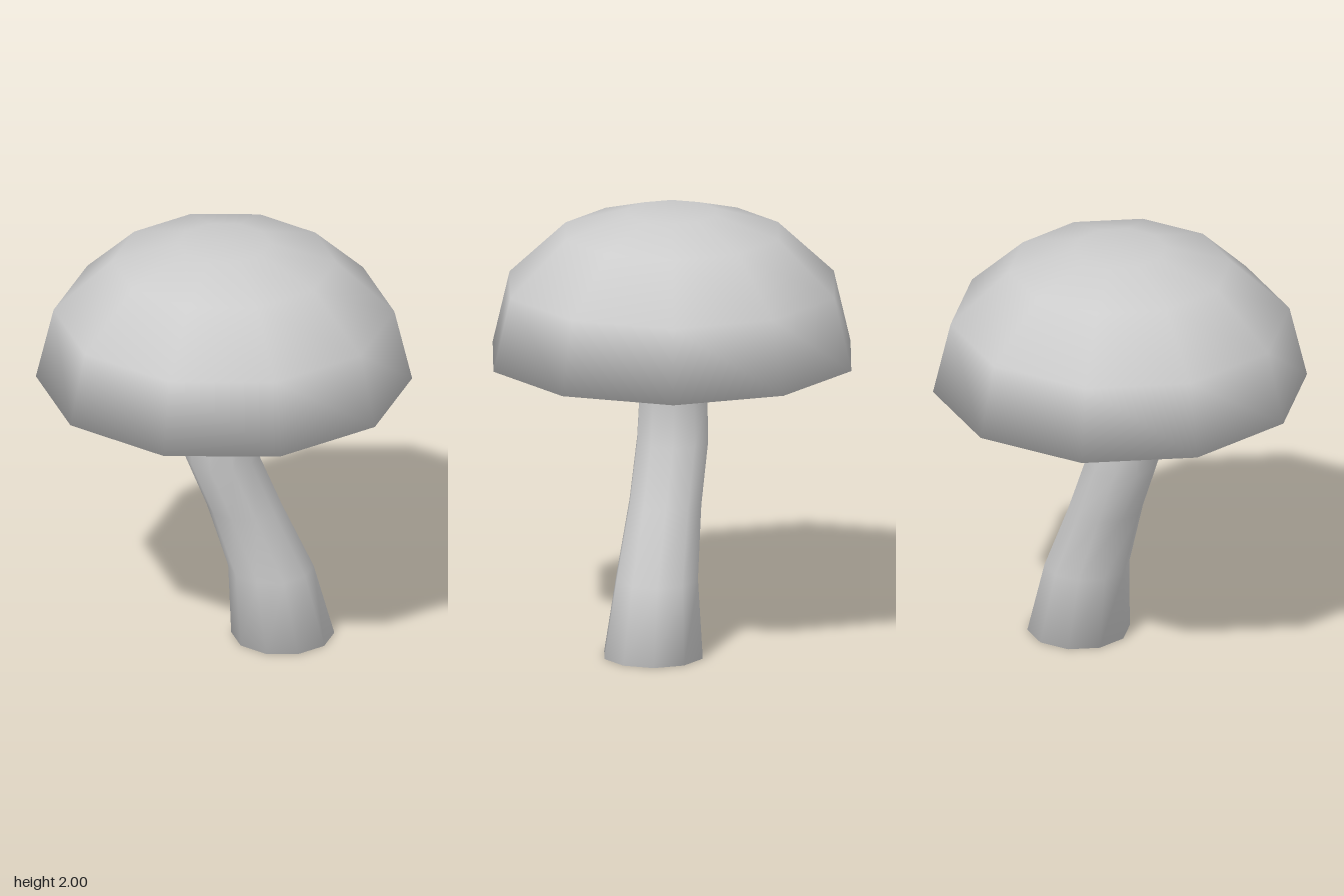
import * as THREE from 'three';

const SIDES = 10;

// Smooth tube from level rings [centreX, y, radius], closed at both ends
function ringTube(rings) {
  const positions = [];
  const index = [];
  for (const [cx, y, r] of rings) {
    for (let i = 0; i < SIDES; i++) {
      const a = (i / SIDES) * Math.PI * 2;
      positions.push(cx + r * Math.sin(a), y, r * Math.cos(a));
    }
  }
  const last = rings.length - 1;
  const bottom = positions.length / 3;
  positions.push(rings[0][0], rings[0][1], 0, rings[last][0], rings[last][1], 0);
  for (let i = 0; i < SIDES; i++) {
    const j = (i + 1) % SIDES;
    for (let k = 0; k < last; k++) {
      const a = k * SIDES + i, b = k * SIDES + j;
      index.push(a, b, b + SIDES, a, b + SIDES, a + SIDES);
    }
    index.push(bottom, j, i);
    index.push(bottom + 1, last * SIDES + i, last * SIDES + j);
  }
  const geometry = new THREE.BufferGeometry();
  geometry.setAttribute('position', new THREE.Float32BufferAttribute(positions, 3));
  geometry.setIndex(index);
  geometry.computeVertexNormals();
  return geometry;
}

export function createModel() {
  const group = new THREE.Group();
  group.name = 'mushroom';
  const grey = new THREE.MeshStandardMaterial({ color: 0xcccccc });
  grey.name = 'lightGrey';

  // Domed cap with a flat underside
  const profile = [
    [0, 1.325], [0.5, 1.325], [0.85, 1.325], [0.77, 1.66],
    [0.505, 1.91], [0.21, 2], [0, 2],
  ].map(([r, y]) => new THREE.Vector2(r, y));
  const cap = new THREE.Mesh(new THREE.LatheGeometry(profile, SIDES), grey);
  cap.name = 'cap';
  group.add(cap);

  // Bent stem, wider at the foot and running up into the cap
  const stem = new THREE.Mesh(ringTube([
    [0.278, 0, 0.233], [0.222, 0.345, 0.193], [0.097, 0.67, 0.17],
    [-0.01, 0.935, 0.168], [-0.023, 1.13, 0.161], [-0.004, 1.34, 0.158],
  ]), grey);
  stem.name = 'stem';
  group.add(stem);

  return group;
}
